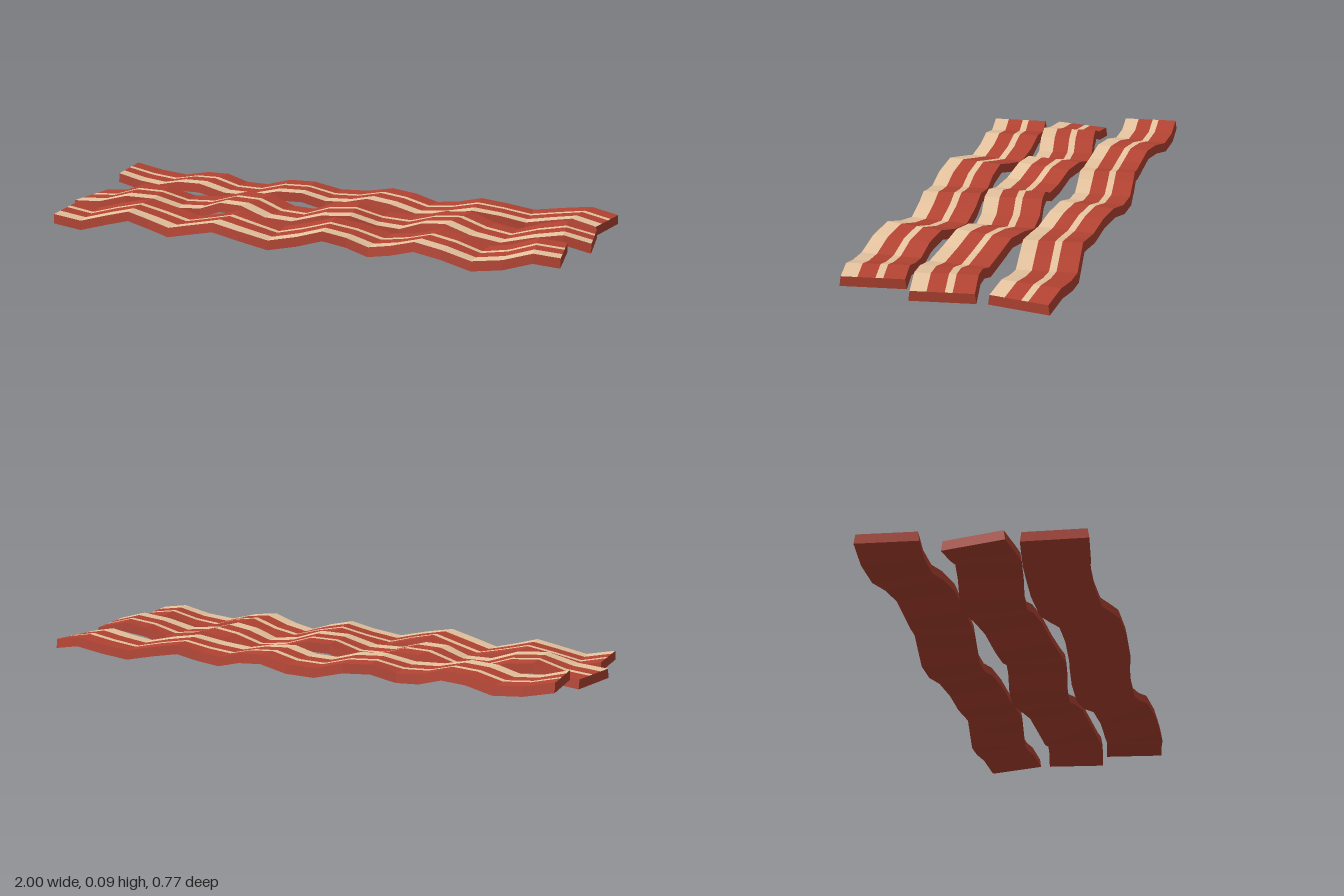
import * as THREE from 'three';

const RED = new THREE.MeshStandardMaterial({ color: 0xb54433, flatShading: true });
const FAT = new THREE.MeshStandardMaterial({ color: 0xe8c5a0, flatShading: true });
const SEGMENTS = 20, THICK = 0.034, INSET = 0.005;

// Cosine wave given its middle, height, a crest position, period and overall tilt
const wave = (mid, amp, crest, period, tilt = 0) => ({
  at: x => mid + tilt * x + amp * Math.cos(2 * Math.PI * (x - crest) / period),
  slope: x => tilt - amp * 2 * Math.PI / period * Math.sin(2 * Math.PI * (x - crest) / period),
});

// Cross-section corners [across 0..1, up -1 or 1], from the back edge over the top and round below
const RING = [[0, 1], [0.34, 1], [0.46, 1], [0.74, 1], [1, 1], [1, -1], [0, -1]];
const FAT_BANDS = [1, 3];

function makeRasher({ name, from, to, width, side, lift }) {
  // Point on the surface: the section stays square to the sideways curve
  const point = (i, [across, up]) => {
    const x = from + (to - from) * i / SEGMENTS;
    const s = side.slope(x), n = Math.hypot(1, s);
    const d = (across - 0.5) * (width - (up > 0 ? 2 * INSET : 0));
    return [x - d * s / n, lift.at(x) + up * THICK / 2, side.at(x) + d / n];
  };
  const red = [], fat = [];
  const quad = (out, a, b, c, d) => out.push(...a, ...b, ...c, ...a, ...c, ...d);

  // Long bands of meat and fat
  RING.forEach((a, k) => {
    const b = RING[(k + 1) % RING.length];
    const out = FAT_BANDS.includes(k) ? fat : red;
    for (let i = 0; i < SEGMENTS; i++) {
      quad(out, point(i, a), point(i, b), point(i + 1, b), point(i + 1, a));
    }
  });

  // End faces
  const corners = [RING[0], RING[4], RING[5], RING[6]];
  quad(red, ...corners.map(c => point(SEGMENTS, c)));
  quad(red, ...corners.map(c => point(0, c)).reverse());

  const group = new THREE.Group();
  group.name = name;
  for (const [part, data, material] of [['meat', red, RED], ['fatStripes', fat, FAT]]) {
    const geometry = new THREE.BufferGeometry();
    geometry.setAttribute('position', new THREE.Float32BufferAttribute(data, 3));
    geometry.computeVertexNormals();
    const mesh = new THREE.Mesh(geometry, material);
    mesh.name = part;
    group.add(mesh);
  }
  return group;
}

export function createModel() {
  const model = new THREE.Group();
  model.name = 'baconRashers';
  model.add(
    makeRasher({
      name: 'backRasher', from: -0.98, to: 0.965, width: 0.215,
      side: wave(-0.26, 0.022, 0.36, 0.83), lift: wave(0.053, 0.016, 0.865, 0.373, -0.01),
    }),
    makeRasher({
      name: 'middleRasher', from: -0.99, to: 0.978, width: 0.22,
      side: wave(0, 0.023, 0.7, 0.785), lift: wave(0.049, 0.022, 0.865, 0.405),
    }),
    makeRasher({
      name: 'frontRasher', from: -0.955, to: 0.935, width: 0.222,
      side: wave(0.25, 0.024, 0.64, 0.83), lift: wave(0.043, 0.022, 0.865, 0.385),
    }),
  );
  return model;
}
